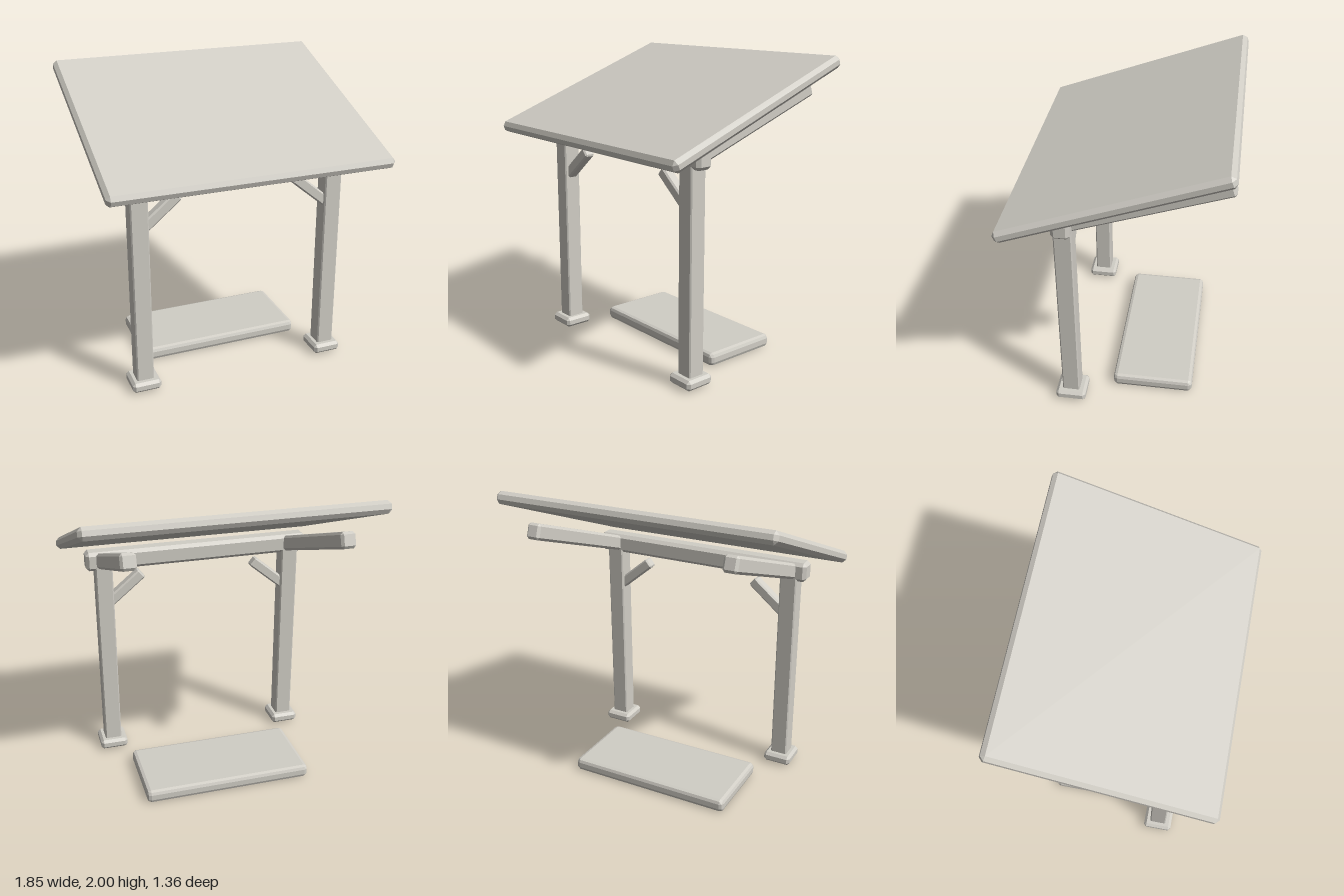
import * as THREE from 'three';
import { ConvexGeometry } from 'three/addons/geometries/ConvexGeometry.js';

// Box with bevelled edges; the optional second step makes the edge rounder.
function bevelBox(w, h, d, bevel, round = false) {
  const dirs = [[1, 0, 0], [0, 1, 0], [0, 0, 1]];
  const s = Math.SQRT1_2;
  if (round) dirs.push([s, s, 0], [s, 0, s], [0, s, s]);
  const points = [];
  for (const sx of [-1, 1]) for (const sy of [-1, 1]) for (const sz of [-1, 1]) {
    for (const [x, y, z] of dirs) {
      points.push(new THREE.Vector3(
        sx * (w / 2 - bevel + x * bevel),
        sy * (h / 2 - bevel + y * bevel),
        sz * (d / 2 - bevel + z * bevel)));
    }
  }
  return new ConvexGeometry(points);
}

export function createModel() {
  const model = new THREE.Group();
  model.name = 'shelter';
  const paleWood = new THREE.MeshStandardMaterial({ color: 0xd1cec6 });
  paleWood.name = 'paleWood';

  function add(name, geometry, x, y, z, parent = model) {
    const mesh = new THREE.Mesh(geometry, paleWood);
    mesh.name = name;
    mesh.position.set(x, y, z);
    parent.add(mesh);
    return mesh;
  }

  const postX = 0.658;
  const postZ = 0.32;

  // Sloping roof panel, low at the front
  const roof = add('roof', bevelBox(1.85, 0.08, 1.44, 0.024), 0, 1.715, 0.002);
  roof.rotation.x = THREE.MathUtils.degToRad(20.6);

  // Header beam across the posts
  add('headerBeam', bevelBox(1.55, 0.128, 0.116, 0.022), 0, 1.447, postZ);

  // Post, foot, rafter and brace on each side
  for (const side of [-1, 1]) {
    const frame = new THREE.Group();
    frame.name = side > 0 ? 'leftFrame' : 'rightFrame';
    model.add(frame);

    add('post', bevelBox(0.115, 1.39, 0.115, 0.008), side * postX, 0.735, postZ, frame);
    add('foot', bevelBox(0.192, 0.068, 0.2, 0.018), side * postX, 0.047, postZ, frame);

    const rafter = add('rafter', bevelBox(0.095, 0.102, 1.1, 0.016), side * postX, 1.6, -0.15, frame);
    rafter.rotation.x = THREE.MathUtils.degToRad(19.5);

    const brace = add('brace', bevelBox(0.3, 0.07, 0.07, 0.01), side * 0.513, 1.232, postZ, frame);
    brace.rotation.z = -side * THREE.MathUtils.degToRad(39.6);
  }

  // Low plank behind the posts
  add('plank', bevelBox(1.13, 0.088, 0.54, 0.026, true), 0, 0.046, -0.215);

  return model;
}
